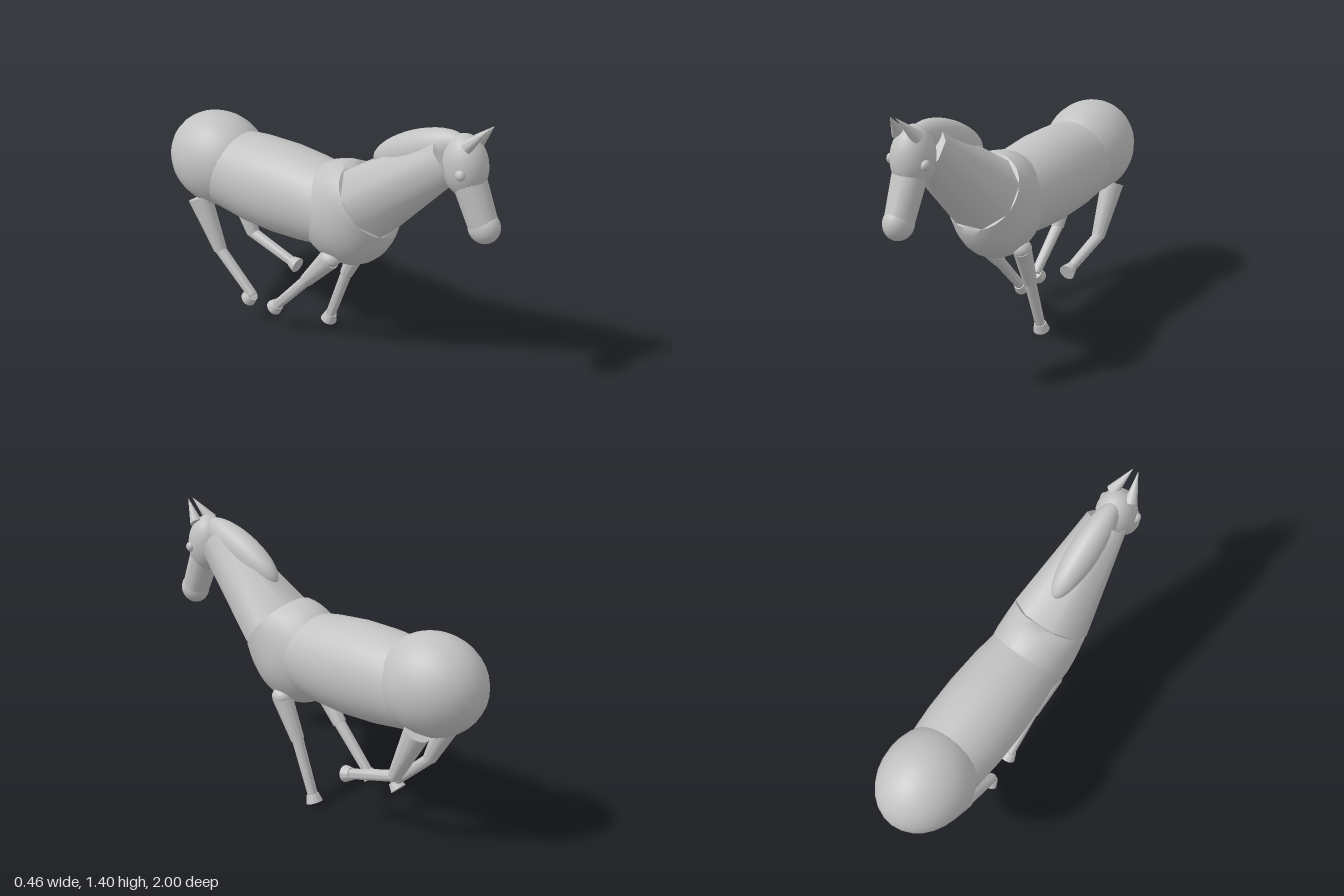
import * as THREE from 'three';
import { toCreasedNormals } from 'three/addons/utils/BufferGeometryUtils.js';

const grey = new THREE.MeshStandardMaterial({ color: 0xc2c2c2 });
grey.name = 'plain grey';
const UP = new THREE.Vector3(0, 1, 0);

// Capped tube from a to b; rings are [t along axis, x radius, depth radius].
function loft(name, a, b, rings, sides = 24) {
  const n = rings.length - 1;
  const A = new THREE.Vector3(...a), B = new THREE.Vector3(...b);
  const length = A.distanceTo(B);
  const geo = new THREE.CylinderGeometry(1, 1, 1, sides, n, false, Math.PI / sides);
  const p = geo.attributes.position;
  for (let i = 0; i < p.count; i++) {
    const [t, rx, rz] = rings[Math.round((p.getY(i) + 0.5) * n)];
    p.setXYZ(i, p.getX(i) * rx, t * length, p.getZ(i) * rz);
  }
  const mesh = new THREE.Mesh(toCreasedNormals(geo, 0.95), grey);
  mesh.name = name;
  mesh.position.copy(A);
  mesh.quaternion.setFromUnitVectors(UP, B.sub(A).normalize());
  return mesh;
}

// Ellipsoid tilted about the x axis.
function ball(name, pos, radii, tilt = 0) {
  const mesh = new THREE.Mesh(new THREE.SphereGeometry(1, 28, 18), grey);
  mesh.name = name;
  mesh.position.set(...pos);
  mesh.scale.set(...radii);
  mesh.rotation.x = tilt;
  return mesh;
}

// Leg of two tapered segments and a hoof; joints are hip, knee, ankle, sole.
function leg(name, hip, knee, ankle, sole, hipRadius, roundTop) {
  const g = new THREE.Group();
  g.name = name;
  g.add(loft('upperLeg', hip, knee, [[0, hipRadius * 0.85, hipRadius], [1, 0.036, 0.034]]));
  if (roundTop) g.add(ball('shoulder', hip, [hipRadius * 0.85, hipRadius * 0.8, hipRadius]));
  g.add(loft('lowerLeg', knee, ankle, [[-0.04, 0.031, 0.029], [1, 0.026, 0.026]]));
  g.add(loft('hoof', ankle, sole, [[0, 0.031, 0.031], [1, 0.043, 0.042]]));
  return g;
}

export function createModel() {
  const horse = new THREE.Group();
  horse.name = 'horse';

  // Body
  horse.add(ball('rump', [0, 0.815, -0.72], [0.23, 0.25, 0.28], 0.1));
  horse.add(loft('barrel', [0, 0.763, 0.06], [0, 0.78, -0.66], [
    [0, 0.195, 0.208], [0.2, 0.21, 0.228], [0.45, 0.219, 0.24], [0.7, 0.217, 0.235], [1, 0.2, 0.21],
  ], 28));

  // Chest: ball cut flat where the neck begins
  const R = 0.27, cut = 0.179, rings = [];
  for (let i = 0; i <= 14; i++) {
    const angle = 0.001 + (Math.PI - Math.acos(cut / R)) * i / 14;
    const r = R * Math.sin(angle), s = -R * Math.cos(angle);
    rings.push([s / cut, s > 0 ? 0.205 - 0.01 * s / cut : r * 0.205 / R, r]);
  }
  horse.add(loft('chest', [0, 0.755, 0.14], [0, 0.866, 0.28], rings, 28));

  // Neck and crest
  horse.add(loft('neck', [0, 0.862, 0.283], [0, 1.212, 0.722],
    [[0, 0.2, 0.194], [1, 0.105, 0.118]], 8));
  horse.add(ball('crest', [0, 1.19, 0.55], [0.078, 0.1, 0.275], -0.415));

  // Head
  horse.add(ball('head', [0, 1.185, 0.805], [0.1, 0.15, 0.11], -0.1));
  horse.add(loft('muzzle', [0, 1.14, 0.82], [0, 0.915, 0.918], [[0, 0.083, 0.08], [1, 0.067, 0.073]]));
  horse.add(ball('nose', [0, 0.912, 0.921], [0.069, 0.079, 0.079]));
  for (const s of [1, -1]) {
    const side = s > 0 ? 'left' : 'right';
    horse.add(ball(side + 'Eye', [s * 0.095, 1.175, 0.84], [0.02, 0.025, 0.025]));
    horse.add(loft(side + 'Ear', [s * 0.052, 1.295, 0.835], [s * 0.015, 1.4, 0.935],
      [[0, 0.033, 0.033], [1, 0.001, 0.001]], 16));
  }

  // Legs
  horse.add(leg('leftFrontLeg', [0.132, 0.545, 0.135], [0.118, 0.33, 0.04],
    [0.115, 0.058, -0.06], [0.115, 0.017, -0.075], 0.055, true));
  horse.add(leg('rightFrontLeg', [-0.132, 0.545, 0.13], [-0.12, 0.365, -0.03],
    [-0.12, 0.16, -0.222], [-0.12, 0.128, -0.252], 0.055, true));
  horse.add(leg('leftRearLeg', [0.135, 0.625, -0.745], [0.13, 0.355, -0.615],
    [0.128, 0.27, -0.34], [0.128, 0.258, -0.298], 0.068, false));
  horse.add(leg('rightRearLeg', [-0.135, 0.625, -0.745], [-0.13, 0.355, -0.615],
    [-0.128, 0.155, -0.395], [-0.128, 0.124, -0.425], 0.068, false));

  return horse;
}
